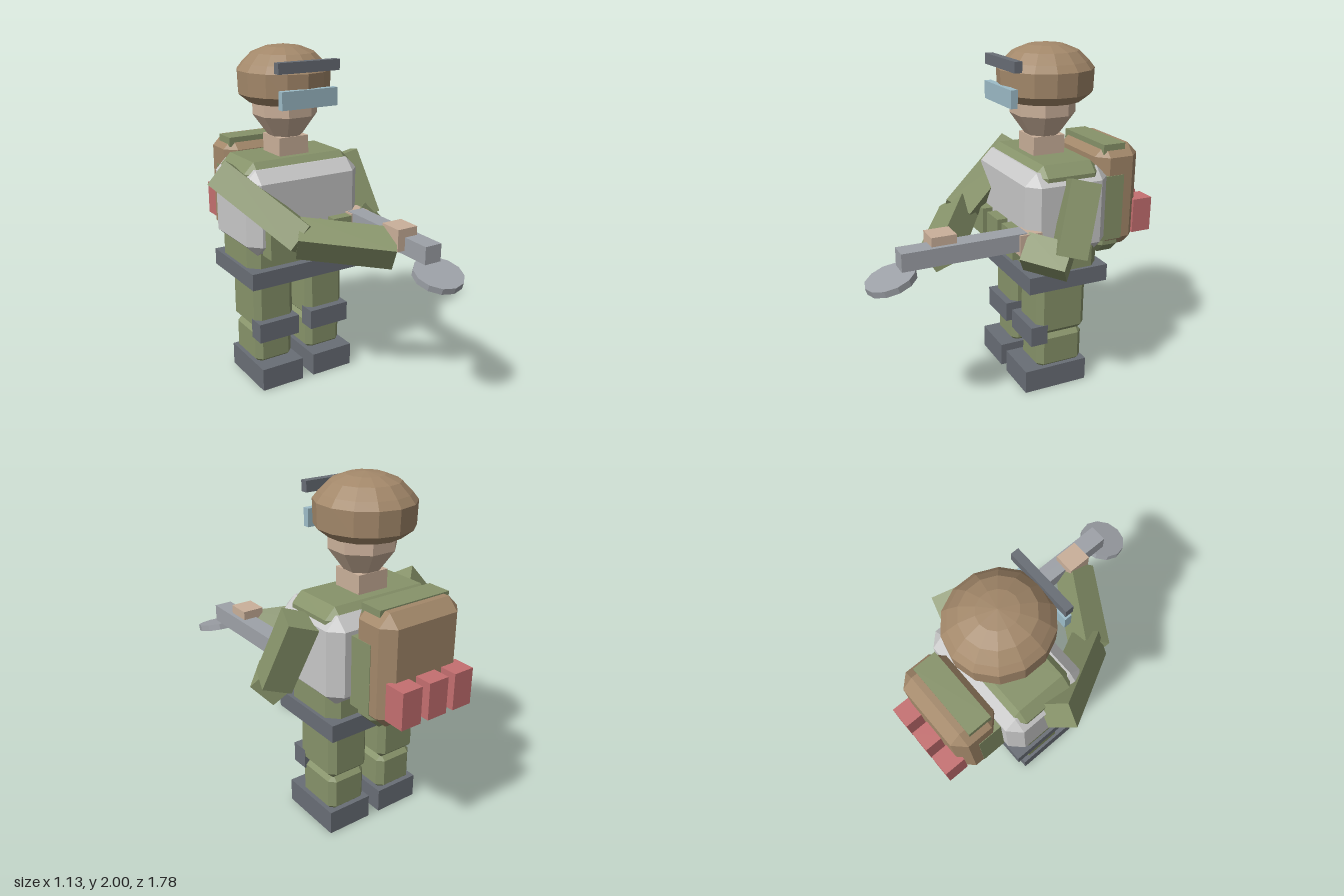
import * as THREE from 'three';
import { ConvexGeometry } from 'three/addons/geometries/ConvexGeometry.js';

const mat = (name, color) => {
  const m = new THREE.MeshStandardMaterial({ color });
  m.name = name;
  return m;
};

export function createModel() {
  const group = new THREE.Group();
  const olive = mat('olive cloth', 0x87936a);
  const tan = mat('tan', 0xa3886a);
  const skin = mat('skin', 0xcab09a);
  const vestGrey = mat('light grey', 0xc8c8c8);
  const dark = mat('dark grey', 0x696e76);
  const metal = mat('metal', 0x9ea2a8);
  const glass = mat('pale blue', 0x9dbcc8);
  const red = mat('red', 0xc56f70);

  const add = (name, geometry, material) => {
    const mesh = new THREE.Mesh(geometry, material);
    mesh.name = name;
    group.add(mesh);
    return mesh;
  };
  const faceted = (g) => {
    const f = g.toNonIndexed();
    f.computeVertexNormals();
    return f;
  };
  // Box given by its limits on each axis
  const box = (name, m, x0, x1, y0, y1, z0, z1) => {
    const mesh = add(name, new THREE.BoxGeometry(x1 - x0, y1 - y0, z1 - z0), m);
    mesh.position.set((x0 + x1) / 2, (y0 + y1) / 2, (z0 + z1) / 2);
    return mesh;
  };
  // Box with every edge cut by c
  const chamferBox = (name, m, c, x0, x1, y0, y1, z0, z1) => {
    const h = [(x1 - x0) / 2, (y1 - y0) / 2, (z1 - z0) / 2];
    const points = [];
    for (const sx of [-1, 1]) for (const sy of [-1, 1]) for (const sz of [-1, 1]) {
      for (let full = 0; full < 3; full++) {
        const p = h.map((v, i) => (i === full ? v : v - c));
        points.push(new THREE.Vector3(p[0] * sx, p[1] * sy, p[2] * sz));
      }
    }
    const mesh = add(name, new ConvexGeometry(points), m);
    mesh.position.set((x0 + x1) / 2, (y0 + y1) / 2, (z0 + z1) / 2);
    return mesh;
  };
  // Square limb between two points
  const limb = (name, from, to, size) => {
    const a = new THREE.Vector3(...from), b = new THREE.Vector3(...to);
    const dir = b.clone().sub(a);
    const mesh = add(name, new THREE.BoxGeometry(size, dir.length(), size), olive);
    mesh.position.copy(a).add(b).multiplyScalar(0.5);
    mesh.quaternion.setFromUnitVectors(new THREE.Vector3(0, 1, 0), dir.normalize());
    return mesh;
  };

  // Legs
  for (const [side, x] of [['right', -0.227], ['left', 0.123]]) {
    box(side + 'Boot', dark, x - 0.137, x + 0.137, 0, 0.14, -0.43, -0.03);
    chamferBox(side + 'LowerLeg', olive, 0.035, x - 0.122, x + 0.122, 0.12, 0.355, -0.415, -0.12);
    chamferBox(side + 'UpperLeg', olive, 0.035, x - 0.13, x + 0.13, 0.345, 0.7, -0.425, -0.11);
    box(side + 'KneePad', dark, x - 0.132, x + 0.132, 0.3, 0.42, -0.17, -0.065);
  }

  // Trunk
  box('belt', dark, -0.42, 0.315, 0.67, 0.77, -0.515, -0.02);
  chamferBox('torso', olive, 0.06, -0.4, 0.295, 0.71, 1.385, -0.48, -0.07);
  chamferBox('vest', vestGrey, 0.068, -0.42, 0.315, 0.85, 1.35, -0.525, -0.015);
  for (const x of [-0.26, -0.05, 0.155]) {
    box('chestPouch', olive, x - 0.075, x + 0.075, 0.86, 1.03, -0.05, 0.047);
  }

  // Head
  box('neck', skin, -0.15, 0.04, 1.36, 1.49, -0.365, -0.17);
  const head = add('head', faceted(new THREE.LatheGeometry([
    [0, 1.49], [0.1, 1.49], [0.187, 1.61], [0.187, 1.78], [0, 1.8],
  ].map((p) => new THREE.Vector2(...p)), 8, Math.PI / 8)), skin);
  head.position.set(-0.055, 0, -0.27);
  const helmet = add('helmet', faceted(new THREE.LatheGeometry([
    [0, 1.72], [0.18, 1.72], [0.2, 1.68], [0.262, 1.73], [0.266, 1.86],
    [0.235, 1.9], [0.18, 1.955], [0.1, 1.987], [0, 2],
  ].map((p) => new THREE.Vector2(...p)), 14)), tan);
  helmet.position.set(-0.055, 0, -0.283);
  helmet.scale.z = 1.04;
  box('helmetBar', dark, -0.245, 0.14, 1.87, 1.93, -0.045, 0);
  box('visor', glass, -0.23, 0.12, 1.68, 1.78, -0.03, 0.01);

  // Backpack
  chamferBox('backpack', tan, 0.065, -0.31, 0.205, 0.81, 1.43, -0.79, -0.51);
  box('packLid', olive, -0.28, 0.17, 1.38, 1.437, -0.69, -0.55);
  box('packSidePanels', olive, -0.313, 0.208, 0.87, 1.26, -0.67, -0.52);
  chamferBox('bedroll', olive, 0.06, -0.29, 0.185, 0.77, 0.95, -0.715, -0.5);
  for (const x of [-0.222, -0.052, 0.12]) {
    box('packPouch', red, x - 0.062, x + 0.062, 0.88, 1.085, -0.89, -0.765);
  }

  // Arms and hands
  limb('rightUpperArm', [-0.47, 1.3, -0.27], [-0.215, 1.01, 0.2], 0.165);
  limb('rightForearm', [-0.24, 1.02, 0.18], [0.2, 0.96, 0.46], 0.165);
  box('rightHand', skin, 0.163, 0.29, 0.97, 1.095, 0.395, 0.535);
  limb('leftUpperArm', [0.365, 1.31, -0.305], [0.455, 0.93, -0.18], 0.165);
  limb('leftForearm', [0.47, 0.9, -0.18], [0.3, 0.935, 0.0], 0.165);
  box('leftHand', skin, 0.203, 0.328, 0.92, 1.04, -0.085, 0.047);

  // Long tool with a tilted disc at its end
  box('toolShaft', metal, 0.21, 0.315, 0.945, 1.045, 0, 0.705);
  const disc = add('toolDisc', faceted(new THREE.CylinderGeometry(0.138, 0.138, 0.036, 12)), metal);
  disc.position.set(0.263, 0.893, 0.75);
  disc.rotation.x = 0.29;

  return group;
}
